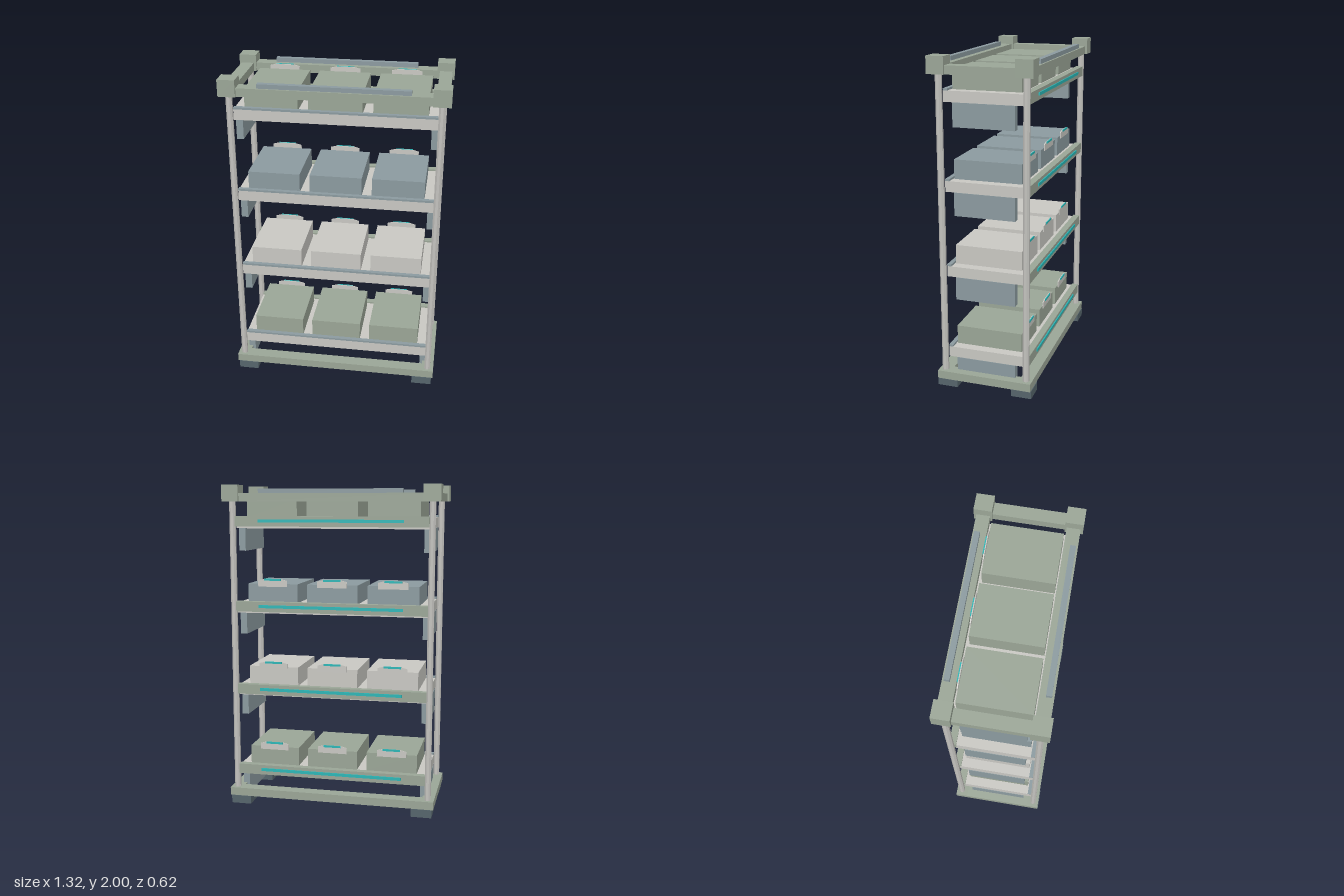
import * as THREE from 'three';

const mat = (name, color) => {
  const m = new THREE.MeshStandardMaterial({ color });
  m.name = name;
  return m;
};

export function createModel() {
  const green = mat('sageGreen', 0x9aa596);
  const blue = mat('slateBlue', 0x8b9a9f);
  const pale = mat('paleGrey', 0xc8c7c2);
  const dark = mat('darkSlate', 0x55646b);
  const cyan = mat('cyan', 0x2bb5b5);
  const posts = mat('postGrey', 0xc2c1bd);
  posts.flatShading = true;

  const model = new THREE.Group();
  model.name = 'storageRack';

  // Box given by its centre and size
  const box = (parent, name, material, [x, y, z], [w, h, d]) => {
    const mesh = new THREE.Mesh(new THREE.BoxGeometry(w, h, d), material);
    mesh.name = name;
    mesh.position.set(x, y, z);
    parent.add(mesh);
    return mesh;
  };

  const PX = 0.609, PZ = 0.256;

  // Four corners: foot, octagonal post and cap
  for (const sx of [-1, 1]) {
    for (const sz of [-1, 1]) {
      box(model, 'foot', dark, [sx * 0.575, 0.025, sz * 0.234], [0.126, 0.05, 0.126]);
      const post = new THREE.Mesh(new THREE.CylinderGeometry(0.02, 0.02, 1.81, 8), posts);
      post.name = 'post';
      post.geometry.rotateY(Math.PI / 8);
      post.position.set(sx * PX, 0.995, sz * PZ);
      model.add(post);
      box(model, 'cornerCap', green, [sx * PX, 1.95, sz * PZ], [0.103, 0.1, 0.103]);
    }
  }

  // Base and top frames
  for (const [name, y] of [['baseBeam', 0.075], ['topBeam', 1.925]]) {
    for (const s of [-1, 1]) {
      box(model, name, green, [0, y, s * 0.254], [1.296, 0.05, 0.078]);
      box(model, name + 'Side', green, [s * 0.61, y, 0], [0.076, 0.05, 0.43]);
    }
  }

  // Bars on the top frame
  for (const s of [-1, 1]) {
    box(model, 'topBar', blue, [0, 1.963, s * 0.266], [0.876, 0.026, 0.032]);
  }

  // Chamfered handle plate for the back of a bin
  const plate = new THREE.Shape([
    [-0.092, -0.02], [0.092, -0.02], [0.092, 0.018], [0.055, 0.028],
    [-0.055, 0.028], [-0.092, 0.018],
  ].map(([x, y]) => new THREE.Vector2(x, y)));
  const handleGeometry = new THREE.ExtrudeGeometry(plate, { depth: 0.007, bevelEnabled: false });

  // Four shelves, each with three bins
  [green, pale, blue, green].forEach((binMaterial, i) => {
    const shelf = new THREE.Group();
    shelf.name = 'shelf';
    shelf.position.y = 0.18 + i * 0.52;
    model.add(shelf);

    box(shelf, 'deck', pale, [0, 0.032, 0], [1.186, 0.064, 0.476]);
    box(shelf, 'frontLip', blue, [0, 0.07, 0.225], [1.186, 0.012, 0.026]);
    box(shelf, 'backRail', green, [0, 0.043, -0.251], [1.186, 0.062, 0.042]);
    box(shelf, 'backStrip', cyan, [0, 0.046, -0.275], [0.89, 0.018, 0.008]);
    for (const s of [-1, 1]) {
      box(shelf, 'sidePanel', blue, [s * 0.575, -0.07, 0], [0.042, 0.14, 0.368]);
    }

    for (const x of [-0.376, 0, 0.376]) {
      const bin = new THREE.Group();
      bin.name = 'bin';
      bin.position.x = x;
      shelf.add(bin);
      box(bin, 'binBody', binMaterial, [0, 0.122, 0], [0.315, 0.116, 0.41]);
      const handle = new THREE.Mesh(handleGeometry, pale);
      handle.name = 'binHandle';
      handle.position.set(0, 0.182, -0.211);
      bin.add(handle);
      box(bin, 'handleStrip', cyan, [0, 0.206, -0.213], [0.108, 0.012, 0.006]);
    }
  });

  return model;
}
